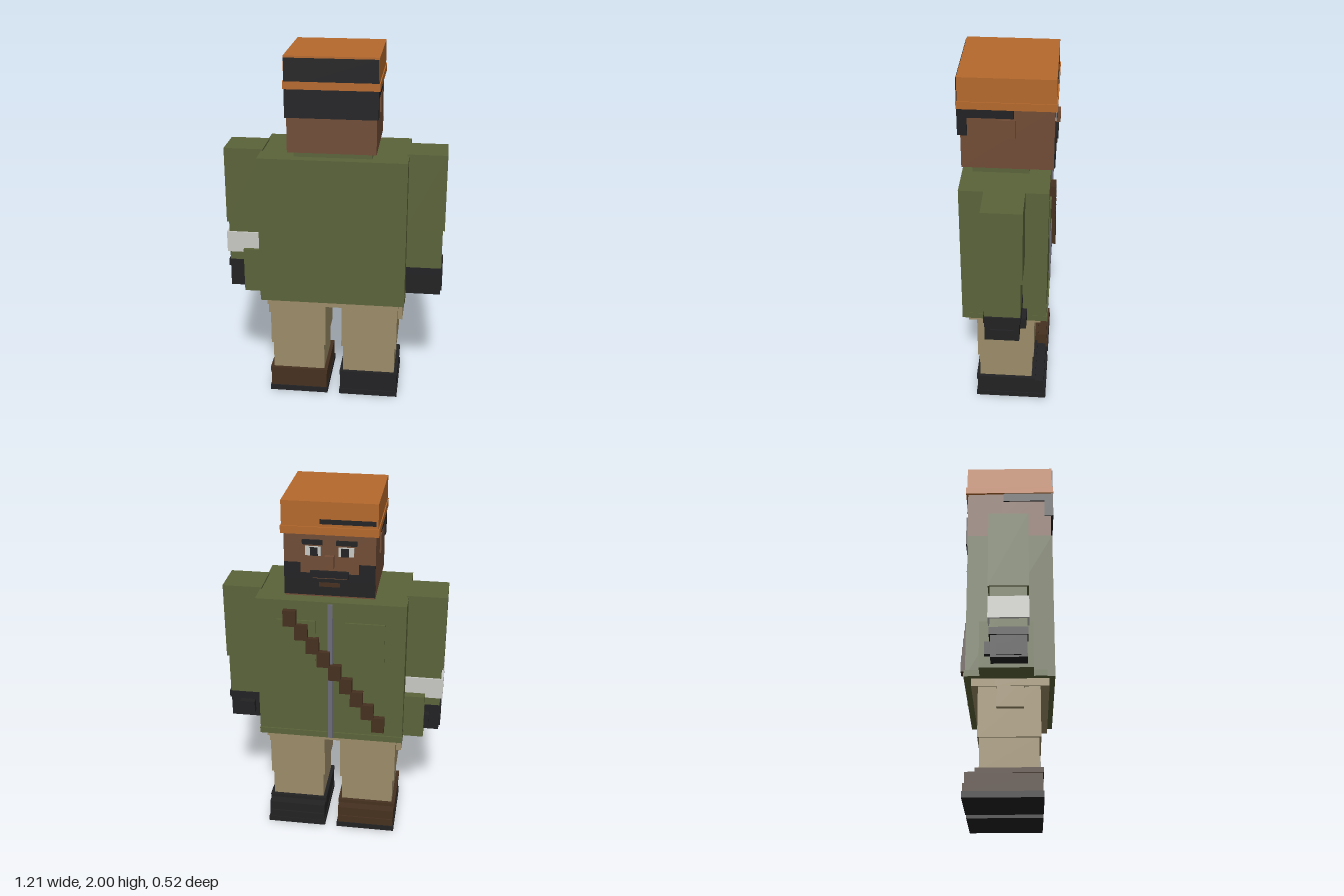
import * as THREE from 'three';

const mat = (name, color) => {
  const m = new THREE.MeshStandardMaterial({ color });
  m.name = name;
  return m;
};

export function createModel() {
  const model = new THREE.Group();
  model.name = 'blockFigure';
  const green = mat('olive cloth', 0x5b633a);
  const tan = mat('khaki cloth', 0x9c8c68);
  const skin = mat('skin', 0x704c36);
  const black = mat('black', 0x222224);
  const brown = mat('brown leather', 0x46301f);
  const orange = mat('orange cap', 0xb5692c);
  const white = mat('white', 0xc8c8c4);
  const grey = mat('zip grey', 0x6c6c78);

  // Box given by its lower and upper corner
  const box = (name, m, x0, x1, y0, y1, z0, z1) => {
    const mesh = new THREE.Mesh(new THREE.BoxGeometry(x1 - x0, y1 - y0, z1 - z0), m);
    mesh.position.set((x0 + x1) / 2, (y0 + y1) / 2, (z0 + z1) / 2);
    mesh.name = name;
    model.add(mesh);
  };
  // Same box on side s (+1 or -1)
  const side = (s, name, m, x0, x1, ...rest) =>
    s > 0 ? box(name, m, x0, x1, ...rest) : box(name, m, -x1, -x0, ...rest);

  // Head and cap
  box('head', skin, -0.235, 0.235, 1.49, 1.84, -0.235, 0.24);
  box('cap', orange, -0.245, 0.245, 1.83, 2, -0.24, 0.25);
  box('capBand', orange, -0.25, 0.25, 1.83, 1.87, -0.247, 0.257);
  box('capStripe', black, -0.235, 0.05, 1.885, 1.91, -0.242, -0.239);

  // Hair
  box('hairBackUpper', black, -0.243, 0.243, 1.83, 1.99, 0.245, 0.255);
  box('hairBack', black, -0.243, 0.243, 1.68, 1.83, 0.205, 0.255);
  box('hairSides', black, -0.243, 0.243, 1.78, 1.83, -0.03, 0.21);

  // Face, on the -z side
  box('chinBeard', black, -0.235, 0.235, 1.5, 1.59, -0.242, -0.234);
  box('mustache', black, -0.1, 0.1, 1.6, 1.635, -0.251, -0.234);
  box('mouth', brown, -0.055, 0.055, 1.55, 1.572, -0.247, -0.24);
  box('nose', skin, -0.024, 0.024, 1.655, 1.72, -0.259, -0.23);
  for (const s of [1, -1]) {
    side(s, 'beardSide', black, 0.15, 0.235, 1.58, 1.675, -0.242, -0.234);
    side(s, 'beardCorner', black, 0.09, 0.16, 1.58, 1.62, -0.242, -0.234);
    side(s, 'eyeWhite', white, 0.045, 0.125, 1.715, 1.765, -0.239, -0.234);
    side(s, 'pupil', black, 0.06, 0.1, 1.715, 1.76, -0.242, -0.238);
    side(s, 'eyebrow', black, 0.035, 0.14, 1.775, 1.8, -0.244, -0.234);
    side(s, 'ear', skin, 0.23, 0.243, 1.67, 1.77, -0.04, 0.05);
  }

  // Jacket
  box('collar', green, -0.21, 0.21, 1.44, 1.49, -0.11, 0.185);
  box('jacket', green, -0.4, 0.4, 0.62, 1.45, -0.22, 0.24);
  box('jacketHem', green, -0.402, 0.402, 0.62, 0.655, -0.228, 0.2);
  box('zip', grey, -0.013, 0.013, 0.62, 1.44, -0.23, -0.219);
  for (const s of [1, -1]) {
    side(s, 'chestPocket', green, 0.08, 0.29, 1.1, 1.34, -0.226, -0.219);
    side(s, 'pocketFlap', green, 0.08, 0.29, 1.29, 1.34, -0.23, -0.219);
  }

  // Stepped diagonal strap
  for (let i = 0; i < 9; i++) {
    const x = 0.215 - i * 0.06, y = 1.355 - i * 0.0775;
    box('strapBlock', brown, x - 0.035, x + 0.035, y - 0.045, y + 0.045, -0.25, -0.219);
  }

  // Arms and gloves
  for (const s of [1, -1]) {
    side(s, 'upperArm', green, 0.39, 0.605, 1.03, 1.46, -0.1, 0.11);
    side(s, 'forearm', green, 0.395, 0.595, 0.79, 1.03, -0.09, 0.1);
    side(s, 'glove', black, 0.4, 0.595, 0.64, 0.8, -0.085, 0.1);
    side(s, 'gloveCuff', black, 0.397, 0.603, 0.76, 0.8, -0.093, 0.105);
    side(s, 'gloveKnuckle', black, 0.58, 0.603, 0.65, 0.715, -0.055, 0.07);
    side(s, 'thumb', black, 0.455, 0.54, 0.68, 0.75, -0.118, -0.08);
  }
  box('armband', white, -0.608, -0.395, 0.85, 0.97, -0.1, 0.11);
  box('hipPouch', green, -0.512, -0.395, 0.62, 0.875, -0.145, 0.13);

  // Trousers and boots
  box('waist', tan, -0.37, 0.37, 0.58, 0.62, -0.19, 0.21);
  for (const s of [1, -1]) {
    const leather = s > 0 ? black : brown;
    side(s, 'thigh', tan, 0.045, 0.36, 0.31, 0.59, -0.155, 0.165);
    side(s, 'shin', tan, 0.055, 0.35, 0.14, 0.31, -0.145, 0.155);
    side(s, 'thighPocket', tan, 0.35, 0.388, 0.46, 0.61, -0.06, 0.08);
    side(s, 'pocketTop', tan, 0.35, 0.393, 0.57, 0.61, -0.063, 0.083);
    side(s, 'bootCuff', leather, 0.036, 0.369, 0.125, 0.15, -0.165, 0.175);
    side(s, 'boot', leather, 0.04, 0.365, 0.03, 0.13, -0.215, 0.17);
    side(s, 'bootToe', leather, 0.042, 0.363, 0.03, 0.075, -0.224, -0.2);
    side(s, 'bootSole', black, 0.035, 0.37, 0, 0.032, -0.228, 0.176);
  }
  return model;
}
